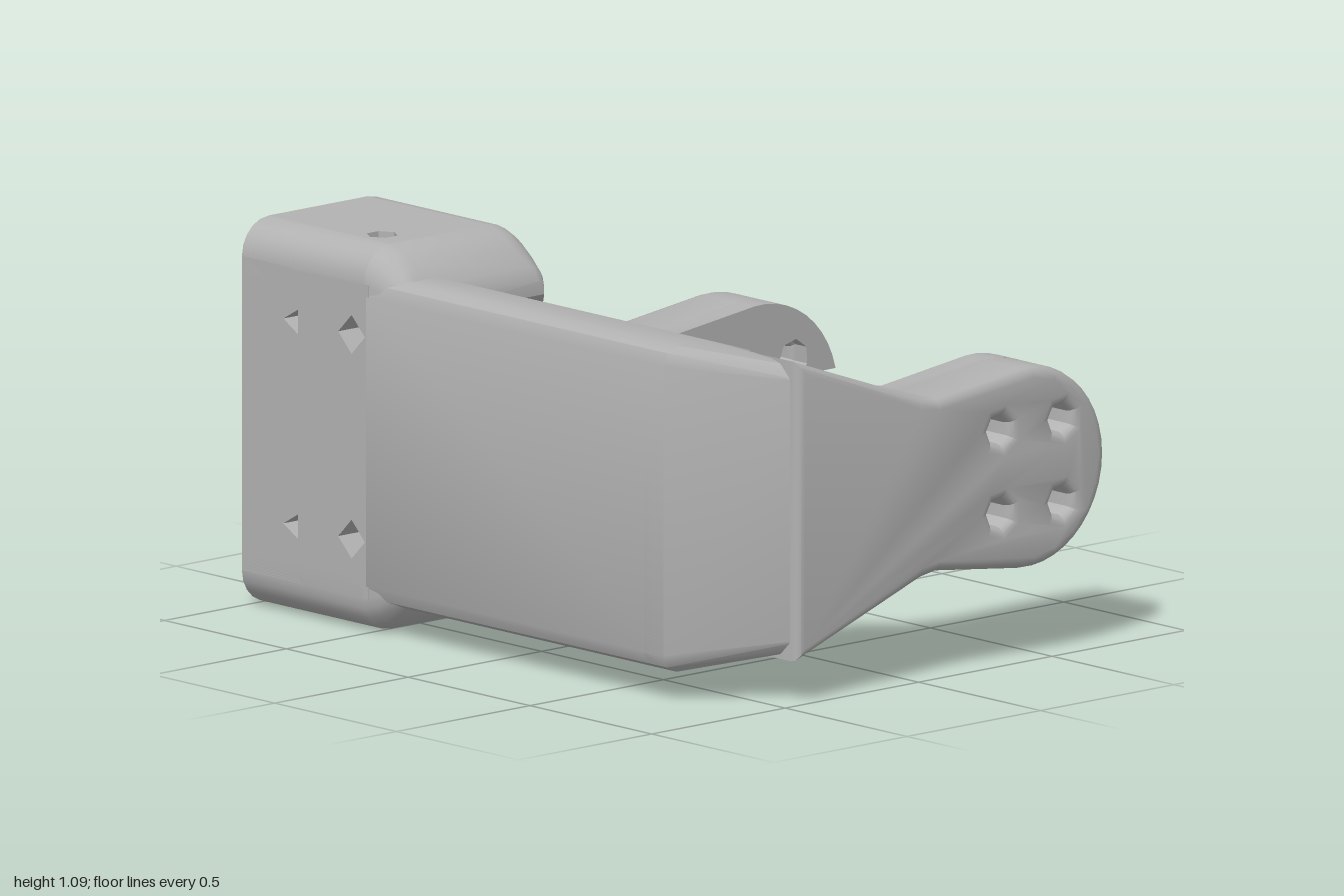
import * as THREE from 'three';
import { toCreasedNormals } from 'three/addons/utils/BufferGeometryUtils.js';
import { ConvexGeometry } from 'three/addons/geometries/ConvexGeometry.js';

const MID = 0.545; // height of the symmetry plane
const grey = new THREE.MeshStandardMaterial({ color: 0xb2b2b2 });
grey.name = 'grey plastic';

const v2 = (x, y) => new THREE.Vector2(x, y);

function add(parent, name, geometry, crease = 0.6) {
  const mesh = new THREE.Mesh(toCreasedNormals(geometry, crease), grey);
  mesh.name = name;
  parent.add(mesh);
  return mesh;
}

// Convex solid from points [x, half height, z], mirrored above and below MID
function mirroredHull(points) {
  const all = [];
  for (const [x, h, z] of points) {
    all.push(new THREE.Vector3(x, MID + h, z), new THREE.Vector3(x, MID - h, z));
  }
  return new ConvexGeometry(all);
}

function polygonHole(cx, cy, r, sides, turn = 0) {
  const pts = [];
  for (let i = 0; i < sides; i++) {
    const a = turn + (i / sides) * Math.PI * 2;
    pts.push(v2(cx + r * Math.cos(a), cy + r * Math.sin(a)));
  }
  return new THREE.Path(pts);
}

function extrude(points, holes, depth, bevel = 0) {
  const shape = new THREE.Shape(points);
  shape.holes.push(...holes);
  return new THREE.ExtrudeGeometry(shape, {
    depth: depth - 2 * bevel, bevelEnabled: bevel > 0, bevelThickness: bevel,
    bevelSize: bevel, bevelOffset: -bevel, bevelSegments: 3,
  }).translate(0, 0, bevel);
}

// Arm outline: tapered root, narrow neck and round end, with an optional slot at the tip
function armOutline(slotted) {
  const cx = 0.42, r = 0.285;
  const pts = [v2(-0.45, 0.97), v2(0.02, 0.8), v2(0.08, 0.79)];
  const arc = (from, to, rad, n) => {
    for (let i = 0; i <= n; i++) {
      const a = from + ((to - from) * i) / n;
      pts.push(v2(cx + rad * Math.cos(a), MID + rad * Math.sin(a)));
    }
  };
  if (slotted) {
    arc(1.66, 0.23, r, 10);
    arc(0.8, Math.PI * 2 - 0.8, 0.09, 10);
    arc(-0.23, -1.66, r, 10);
  } else {
    arc(1.66, -1.66, r, 22);
  }
  pts.push(v2(0.08, 0.3), v2(0.02, 0.29), v2(-0.45, 0.12));
  return pts;
}

function makeArm(name) {
  const arm = new THREE.Group();
  arm.name = name;
  const holes = (r) => [0.31, 0.54].flatMap((x) =>
    [0.43, 0.665].map((y) => polygonHole(x, y, r, 7, 0.4)));
  add(arm, 'armOuterLayer', extrude(armOutline(false), holes(0.04), 0.2, 0.03).translate(0, 0, 0.8));
  add(arm, 'armSlottedLayer', extrude(armOutline(true), holes(0.055), 0.085).translate(0, 0, 0.76));
  // Wedge that thickens the inner root of the arm
  add(arm, 'rootWedge', mirroredHull([
    [-0.45, 0.43, 0.65], [-0.11, 0.01, 0.65], [-0.2, 0.3, 0.735], [-0.03, 0.19, 0.725],
    [0.16, 0.06, 0.735], [0.16, 0.06, 0.78], [-0.45, 0.43, 0.8], [0.02, 0.23, 0.8],
  ]), 0.2);
  return arm;
}

// Upper jaw of the clamp; turned over it also serves as the lower one
function makeJaw(name) {
  const jaw = new THREE.Group();
  jaw.name = name;
  const x0 = -0.71, x1 = -0.14, r = 0.1, low = 0.93, top = 1.09;

  // Flat plate with a small hexagonal screw hole
  const plan = [v2(x0 + r, 0.5), v2(x1 - r, 0.5), v2(x1 - r, 1), v2(x0 + r, 1)];
  add(jaw, 'jawPlate', extrude(plan, [polygonHole(-0.545, 0.605, 0.045, 6)], top - low)
    .rotateX(-Math.PI / 2).translate(0, low, 0));

  // Rounded long edges
  for (const side of [-1, 1]) {
    const cx = side < 0 ? x0 + r : x1 - r;
    const pts = [v2(cx, low)];
    for (let i = 0; i <= 5; i++) {
      const a = (i / 5) * Math.PI / 2;
      pts.push(v2(cx + side * r * Math.cos(a), top - r + r * Math.sin(a)));
    }
    pts.splice(1, 0, v2(cx + side * r, low));
    add(jaw, 'jawEdge', extrude(pts, [], 0.5).translate(0, 0, -1));
  }

  // Rounded nose: z, bottom, top, inset
  const nose = [];
  for (const [z, yLow, yTop, inset] of [
    [-0.5, 0.89, 1.09, 0], [-0.45, 0.865, 1.075, 0.005], [-0.4, 0.865, 1.04, 0.015],
    [-0.36, 0.885, 0.99, 0.025], [-0.34, 0.91, 0.95, 0.04],
  ]) {
    const rr = Math.min(r, (yTop - yLow) * 0.5);
    for (const side of [-1, 1]) {
      const cx = side < 0 ? x0 + inset + rr : x1 - inset - rr;
      nose.push(new THREE.Vector3(cx + side * rr, yLow, z));
      for (let i = 0; i <= 5; i++) {
        const a = (i / 5) * Math.PI / 2;
        nose.push(new THREE.Vector3(cx + side * rr * Math.cos(a), yTop - rr + rr * Math.sin(a), z));
      }
    }
  }
  add(jaw, 'jawNose', new ConvexGeometry(nose));
  return jaw;
}

// Turn a part over about the x axis; z becomes zOffset - z
function turnOver(part, zOffset) {
  part.rotation.x = Math.PI;
  part.position.set(0, 2 * MID, zOffset);
  return part;
}

export function createModel() {
  const model = new THREE.Group();
  model.name = 'bracket';

  // Spine with softened outer edges
  const spineSection = [[-0.71, 0.41], [-0.695, 0.445], [-0.66, 0.462], [-0.55, 0.462], [-0.45, 0.43]];
  const sweep = (section, zs) => section.flatMap(([x, h]) => zs.map((z) => [x, h, z]));
  add(model, 'spine', mirroredHull(sweep(spineSection, [-0.49, 0.73])));
  add(model, 'spineRidge', mirroredHull([
    ...sweep([[-0.6, 0.44], [-0.45, 0.43]], [-0.1, 0.72]), [-0.125, 0.004, -0.05], [-0.1, 0.004, 0.72],
  ]), 0.2);

  // Sloped corner joining the spine to the front arm
  add(model, 'frontCorner', mirroredHull([
    ...sweep(spineSection, [0.65, 0.73]),
    [-0.41, 0.365, 1], [-0.4, 0.4, 0.97], [-0.4, 0.405, 0.76],
  ]), 0.5);

  // Two facing arms
  model.add(makeArm('frontArm'));
  model.add(turnOver(makeArm('backArm'), 0.655));

  // Core between the back arm and the clamp
  add(model, 'clampCore', mirroredHull(sweep([[-0.6, 0.43], [-0.45, 0.43], [0, 0.25]], [-0.49, -0.2])), 0.3);

  // Corrugated wall of the clamp
  const teeth = [v2(0.45, 0.29)];
  for (let i = 0; i <= 10; i++) {
    teeth.push(v2(i % 2 ? 0.56 : 0.515, 0.29 + i * 0.051));
  }
  teeth.push(v2(0.45, 0.8));
  add(model, 'corrugatedWall', extrude(teeth, [], 0.63).rotateY(Math.PI / 2).translate(-0.63, 0, 0), 0.2);

  // Clamp back plate: through holes, plus blind pits on the inner face
  const plate = [v2(0.48, 0.1), v2(1, 0.1), v2(1, 0.99), v2(0.48, 0.99)];
  const through = () => [0.26, 0.84].flatMap((y) => [
    polygonHole(0.55, y, 0.055, 4), polygonHole(0.79, y, 0.04, 3),
  ]);
  const pits = [0.46, 0.65].map((y) => polygonHole(0.78, y, 0.06, 4));
  const plateAt = (holes, x, depth) =>
    extrude(plate, holes, depth).rotateY(Math.PI / 2).translate(x, 0, 0);
  add(model, 'clampPlateOuter', plateAt(through(), -0.71, 0.055));
  add(model, 'clampPlateInner', plateAt([...through(), ...pits], -0.655, 0.055));

  // Clamp jaws
  model.add(makeJaw('upperJaw'));
  const lower = makeJaw('lowerJaw');
  // Mirror the jaw downwards by flipping each geometry and its winding
  lower.children.forEach((mesh) => {
    const g = mesh.geometry;
    g.scale(1, -1, 1).translate(0, 2 * MID, 0);
    for (const key of Object.keys(g.attributes)) {
      const { array, itemSize: n } = g.attributes[key];
      for (let t = 0; t < array.length; t += 3 * n) {
        for (let k = 0; k < n; k++) {
          [array[t + k], array[t + 2 * n + k]] = [array[t + 2 * n + k], array[t + k]];
        }
      }
    }
  });
  model.add(lower);
  return model;
}
